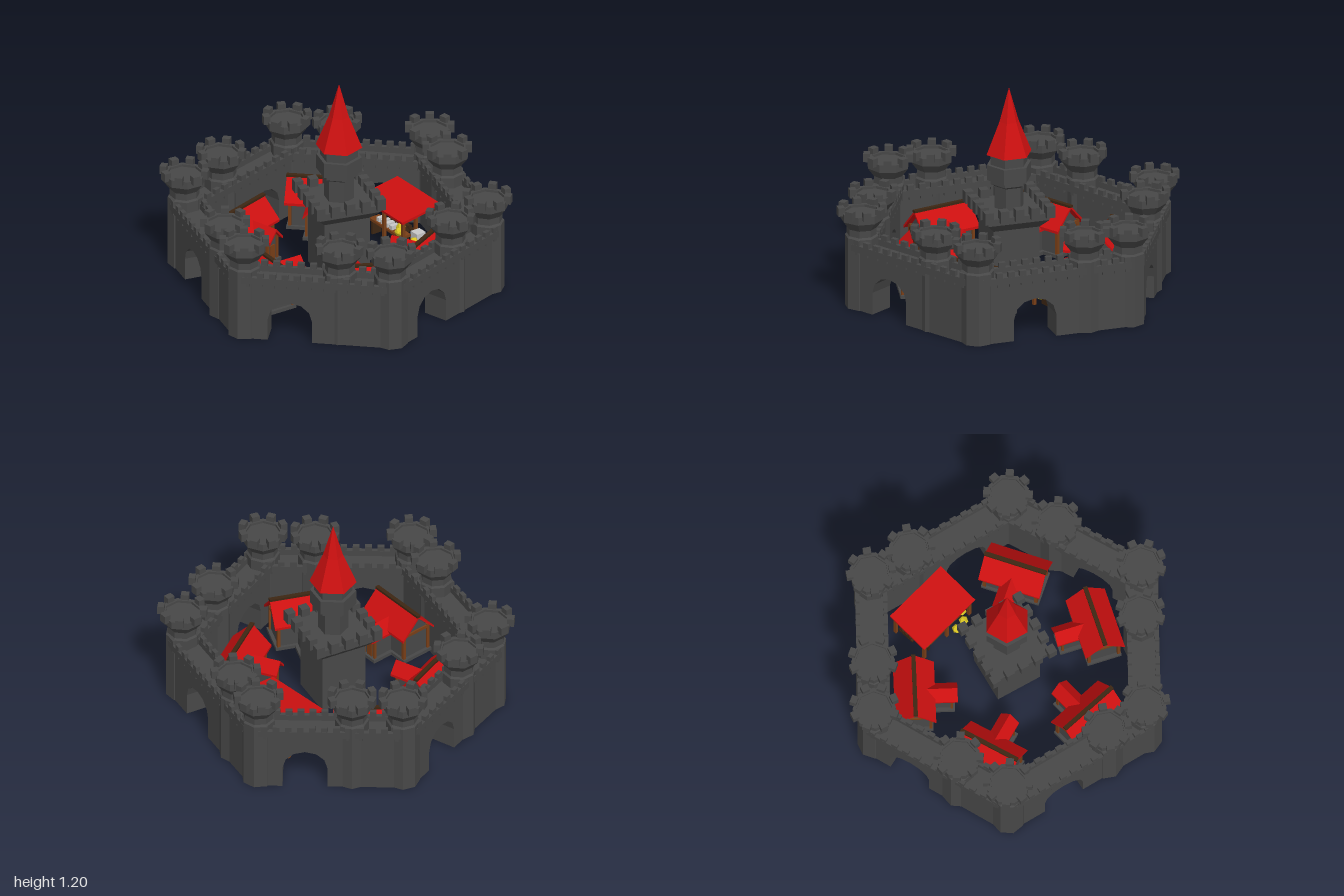
import * as THREE from 'three';

const mat = (name, color, extra = {}) => {
  const m = new THREE.MeshStandardMaterial({ color, flatShading: true, ...extra });
  m.name = name;
  return m;
};

export function createModel() {
  const stone = mat('stone', 0x484848);
  const red = mat('red roof', 0xcc1010);
  const wood = mat('wood', 0x7a3f17);
  const dark = mat('dark wood', 0x3d2613);
  const yellow = mat('yellow', 0xd8c422);
  const pale = mat('pale metal', 0xc8c8c8);

  const model = new THREE.Group();
  model.name = 'castle';

  const add = (parent, name, geo, m, x = 0, y = 0, z = 0, ry = 0) => {
    const mesh = new THREE.Mesh(geo, m);
    mesh.name = name;
    mesh.position.set(x, y, z);
    mesh.rotation.y = ry;
    parent.add(mesh);
    return mesh;
  };
  const box = (parent, name, m, w, h, d, x, y, z, ry = 0) =>
    add(parent, name, new THREE.BoxGeometry(w, h, d), m, x, y, z, ry);
  const group = (name, x, z, ry = 0) => {
    const g = new THREE.Group();
    g.name = name;
    g.position.set(x, 0, z);
    g.rotation.y = ry;
    model.add(g);
    return g;
  };
  const lathe = (pts, sides) =>
    new THREE.LatheGeometry(pts.map(p => new THREE.Vector2(p[0], p[1])), sides);

  // Octagonal tower with a flared, crenellated head
  const towerGeo = lathe([[0, 0], [0.095, 0], [0.095, 0.42], [0.085, 0.43], [0.085, 0.47],
    [0.122, 0.52], [0.122, 0.565], [0.1, 0.565], [0.1, 0.55], [0, 0.55]], 8);
  const tower = (x, z, ry) => {
    const g = group('tower', x, z, ry);
    add(g, 'towerShaft', towerGeo, stone, 0, 0, 0, Math.PI / 8);
    for (let i = 0; i < 8; i++) {
      const a = i * Math.PI / 4;
      box(g, 'towerMerlon', stone, 0.045, 0.05, 0.038,
        Math.sin(a) * 0.12, 0.573, Math.cos(a) * 0.12, a);
    }
  };

  // Wall with a gate arch, parapets, merlons and corbels
  const wall = (p, q, r) => {
    const dx = q[0] - p[0], dz = q[1] - p[1], len = Math.hypot(dx, dz);
    const g = group('wall', p[0], p[1], Math.atan2(-dz, dx));
    const near = Math.hypot(r[0] - p[0], r[1] - p[1]);
    const c = (near + len) / 2;
    const s = new THREE.Shape();
    s.moveTo(0, 0);
    s.lineTo(c - 0.125, 0);
    for (let i = 0; i <= 6; i++) {
      const a = Math.PI * (1 - i / 6);
      s.lineTo(c + 0.125 * Math.cos(a), 0.13 + 0.11 * Math.sin(a));
    }
    s.lineTo(c + 0.125, 0);
    s.lineTo(len, 0);
    s.lineTo(len, 0.355);
    s.lineTo(0, 0.355);
    const geo = new THREE.ExtrudeGeometry(s, { depth: 0.15, bevelEnabled: false });
    add(g, 'wallWithGate', geo, stone, 0, 0, -0.075);
    for (const side of [-1, 1]) {
      box(g, 'parapet', stone, len, 0.04, 0.025, len / 2, 0.37, side * 0.0775);
      const n = Math.round(len / 0.07);
      for (let i = 0; i < n; i++) {
        const x = (i + 0.5) * len / n;
        box(g, 'wallMerlon', stone, 0.038, 0.032, 0.024, x, 0.404, side * 0.0775);
        box(g, 'corbel', stone, 0.02, 0.02, 0.02, x, 0.343, side * 0.078);
      }
    }
  };

  // Six corners, each with a companion tower along the next wall
  const corners = [[0.01, -0.86], [0.72, -0.475], [0.74, 0.42], [0.01, 0.86], [-0.72, 0.465], [-0.75, -0.435]];
  const companions = [[0.26, -0.725], [0.73, -0.215], [0.465, 0.575], [-0.24, 0.71], [-0.74, 0.205], [-0.475, -0.595]];
  corners.forEach((c, i) => {
    const turn = -i * Math.PI / 3 - 0.08;
    tower(c[0], c[1], turn);
    tower(companions[i][0], companions[i][1], turn);
    wall(c, corners[(i + 1) % 6], companions[i]);
  });

  // Central keep
  const keep = group('keep', 0.012, -0.005);
  box(keep, 'keepBody', stone, 0.27, 0.38, 0.27, 0, 0.23, 0);
  add(keep, 'keepFlare', new THREE.CylinderGeometry(0.18 * Math.SQRT2, 0.135 * Math.SQRT2, 0.05, 4)
    .rotateY(Math.PI / 4), stone, 0, 0.425, 0);
  box(keep, 'keepPlatform', stone, 0.36, 0.04, 0.36, 0, 0.47, 0);
  for (let side = 0; side < 4; side++) {
    const a = side * Math.PI / 2;
    for (let i = 0; i < 4; i++) {
      const t = -0.18 + i * 0.09;
      box(keep, 'keepMerlon', stone, 0.05, 0.07, 0.05,
        Math.cos(a) * t + Math.sin(a) * 0.18, 0.505, -Math.sin(a) * t + Math.cos(a) * 0.18, a);
    }
  }
  add(keep, 'turret', lathe([[0, 0.48], [0.085, 0.48], [0.085, 0.62], [0.108, 0.635], [0.108, 0.66],
    [0.13, 0.66], [0.13, 0.75], [0.108, 0.75], [0.108, 0.81]], 6), stone);
  add(keep, 'spire', lathe([[0, 0.81], [0.132, 0.81], [0.056, 1.0], [0, 1.2]], 6), red);

  // Gabled roof sheet running along z
  const gable = (width, length, rise, t = 0.015) => {
    const s = new THREE.Shape();
    const h = width / 2;
    s.moveTo(-h, 0);
    s.lineTo(0, rise);
    s.lineTo(h, 0);
    s.lineTo(h, -t);
    s.lineTo(0, rise - t);
    s.lineTo(-h, -t);
    return new THREE.ExtrudeGeometry(s, { depth: length, bevelEnabled: false }).translate(0, 0, -length / 2);
  };
  // Solid gable wall, pentagon in section, running along z
  const gableWall = (width, length, eave, rise) => {
    const s = new THREE.Shape();
    s.moveTo(-width / 2, 0.06);
    s.lineTo(width / 2, 0.06);
    s.lineTo(width / 2, eave);
    s.lineTo(0, eave + rise);
    s.lineTo(-width / 2, eave);
    return new THREE.ExtrudeGeometry(s, { depth: length, bevelEnabled: false }).translate(0, 0, -length / 2);
  };

  // Timber-framed house; the small wing points to local +z
  const house = (x, z, dx, dz) => {
    const g = group('house', x, z, Math.atan2(dx, dz));
    box(g, 'houseFloor', stone, 0.34, 0.02, 0.2, 0, 0.05, 0);
    add(g, 'houseWalls', gableWall(0.17, 0.3, 0.215, 0.09), stone, 0, 0, 0, Math.PI / 2);
    add(g, 'houseRoof', gable(0.23, 0.36, 0.12), red, 0, 0.21, 0, Math.PI / 2);
    box(g, 'ridgeBeam', dark, 0.364, 0.014, 0.024, 0, 0.329, 0);
    for (const sx of [-1, 1]) {
      for (const sz of [-1, 1])
        box(g, 'cornerPost', wood, 0.018, 0.165, 0.018, sx * 0.152, 0.1425, sz * 0.086);
      box(g, 'gableBeam', wood, 0.012, 0.018, 0.17, sx * 0.153, 0.21, 0);
    }
    box(g, 'wingFloor', stone, 0.12, 0.02, 0.13, 0, 0.05, 0.16);
    add(g, 'wingWalls', gableWall(0.08, 0.15, 0.19, 0.045), stone, 0, 0, 0.13);
    add(g, 'wingRoof', gable(0.115, 0.2, 0.065), red, 0, 0.195, 0.14);
    for (const sx of [-1, 1])
      box(g, 'wingPost', wood, 0.014, 0.14, 0.014, sx * 0.041, 0.13, 0.206);
    box(g, 'door', wood, 0.04, 0.09, 0.008, 0, 0.105, 0.207);
  };
  house(-0.055, 0.525, 14, -68);
  house(0.44, 0.295, -46, -52);
  house(-0.51, 0.22, 68, -16);
  house(-0.425, -0.37, 35, 58);
  house(0.09, -0.555, -32, 61);

  // Open market stall with a single sloping roof; long side on local z
  const stall = group('stall', 0.455, -0.23, 0.285);
  const roof = box(stall, 'stallRoof', red, 0.27, 0.015, 0.41, 0, 0.275, 0);
  roof.rotation.z = 0.15;
  for (const sz of [-1, 0, 1]) {
    box(stall, 'frontPost', wood, 0.018, 0.21, 0.018, -0.11, 0.145, sz * 0.18);
    box(stall, 'backPost', wood, 0.018, 0.245, 0.018, 0.11, 0.1625, sz * 0.18);
  }
  box(stall, 'counter', wood, 0.07, 0.015, 0.3, -0.07, 0.13, 0);
  for (const sz of [-1, 1])
    box(stall, 'counterLeg', dark, 0.06, 0.085, 0.015, -0.07, 0.0825, sz * 0.13);

  // Goods: log pile, yellow sacks and pale ingots
  for (let row = 0; row < 2; row++)
    for (let i = 0; i < 4 - row; i++)
      add(stall, 'log', new THREE.CylinderGeometry(0.014, 0.014, 0.15, 6).rotateX(Math.PI / 2),
        dark, 0.01 + i * 0.028 + row * 0.014, 0.055 + row * 0.024, -0.09);
  const sack = new THREE.IcosahedronGeometry(0.028, 0);
  [[-0.1, 0.165, 0.13], [-0.06, 0.165, 0.09], [-0.125, 0.075, 0.12], [-0.13, 0.07, 0.06], [0, 0.07, 0.13]]
    .forEach(p => add(stall, 'sack', sack, yellow, p[0], p[1], p[2]));
  for (let i = 0; i < 4; i++)
    box(stall, 'ingot', pale, 0.05, 0.025, 0.025, -0.07, 0.15, 0.04 - i * 0.04);
  box(stall, 'paleCrate', pale, 0.06, 0.06, 0.06, 0.06, 0.07, 0.09);

  return model;
}
